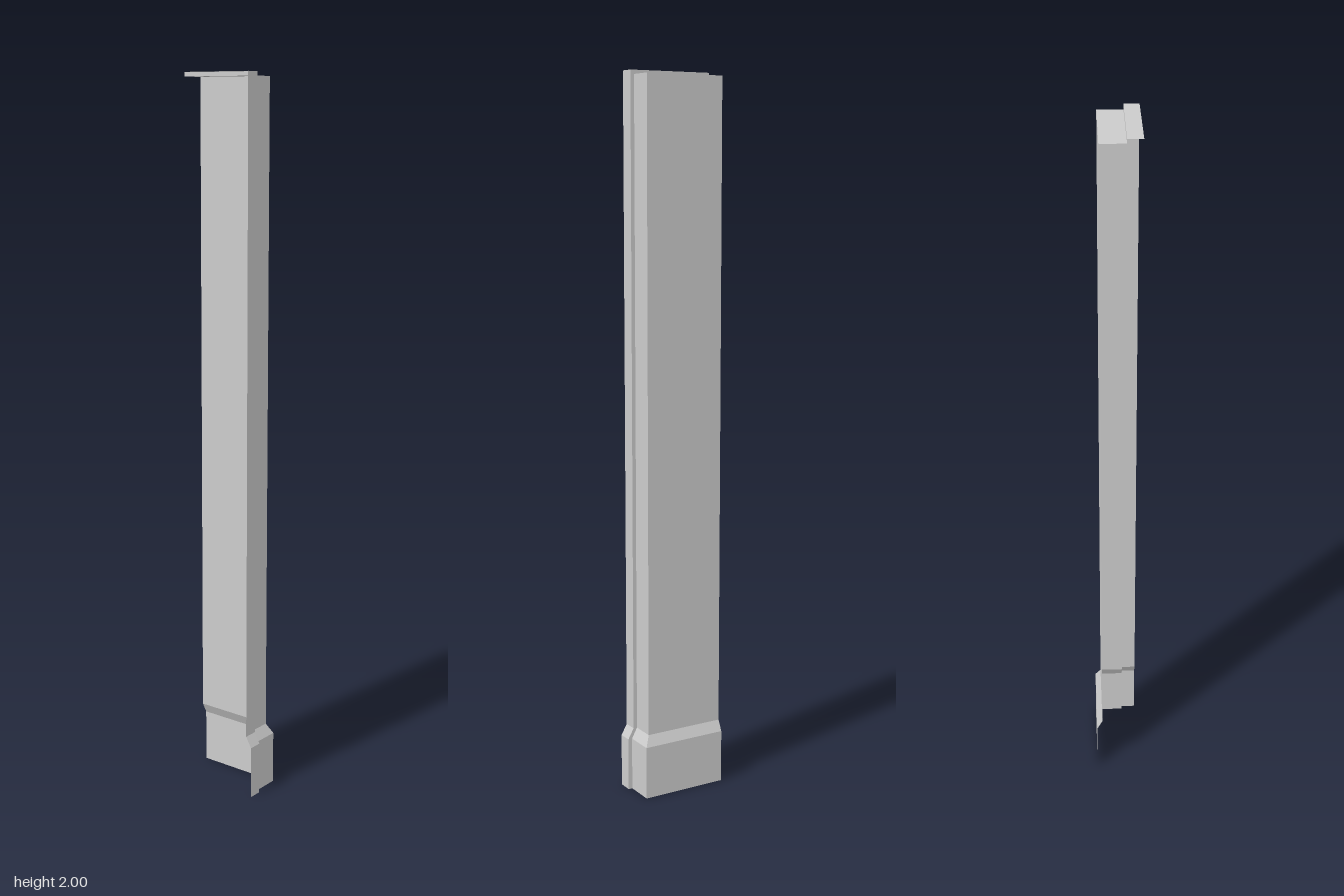
import * as THREE from 'three';

const LEFT = -0.131, STEP_Z = 0.021, FRONT_Z = 0.061;
const TOP_LOW = 1.989, TOP = 2;

// Join rows of points into one thin, flat-shaded sheet
function sheet(name, rows, material) {
  const pos = [];
  for (let r = 0; r < rows.length - 1; r++) {
    for (let i = 0; i < rows[r].length - 1; i++) {
      const a = rows[r][i], b = rows[r][i + 1];
      const c = rows[r + 1][i + 1], d = rows[r + 1][i];
      pos.push(...a, ...d, ...c, ...a, ...c, ...b);
    }
  }
  const geometry = new THREE.BufferGeometry();
  geometry.setAttribute('position', new THREE.Float32BufferAttribute(pos, 3));
  geometry.computeVertexNormals();
  const mesh = new THREE.Mesh(geometry, material);
  mesh.name = name;
  return mesh;
}

export function createModel() {
  const group = new THREE.Group();
  group.name = 'cornerTrim';
  const material = new THREE.MeshStandardMaterial({
    color: 0xcccccc, flatShading: true, side: THREE.DoubleSide,
  });

  // Levels: wide plinth, sloped shoulder, slim shaft up to the mitred top
  const levels = [
    { y: 0, grow: 0.016 },
    { y: 0.15, grow: 0.016 },
    { y: 0.18, grow: 0 },
    { y: TOP_LOW, lipY: TOP, grow: 0 },
  ];
  const backPanel = [], sidePanel = [];
  for (const { y, lipY = y, grow } of levels) {
    const backZ = -0.046 - grow * 0.95, sideX = 0.102 + grow, lipX = 0.113 + grow * 1.06;
    backPanel.push([[LEFT, y, backZ], [sideX, y, backZ]]);
    sidePanel.push([
      [sideX, y, backZ], [sideX, y, STEP_Z],
      [lipX, lipY, STEP_Z], [lipX, lipY, FRONT_Z],
    ]);
  }

  // The head repeats the stepped side profile across to the open left edge
  const mitre = sidePanel[sidePanel.length - 1];
  const head = [mitre, mitre.map(([, y, z]) => [LEFT, y, z])];

  group.add(
    sheet('backPanel', backPanel, material),
    sheet('steppedSidePanel', sidePanel, material),
    sheet('steppedHead', head, material),
  );
  return group;
}
